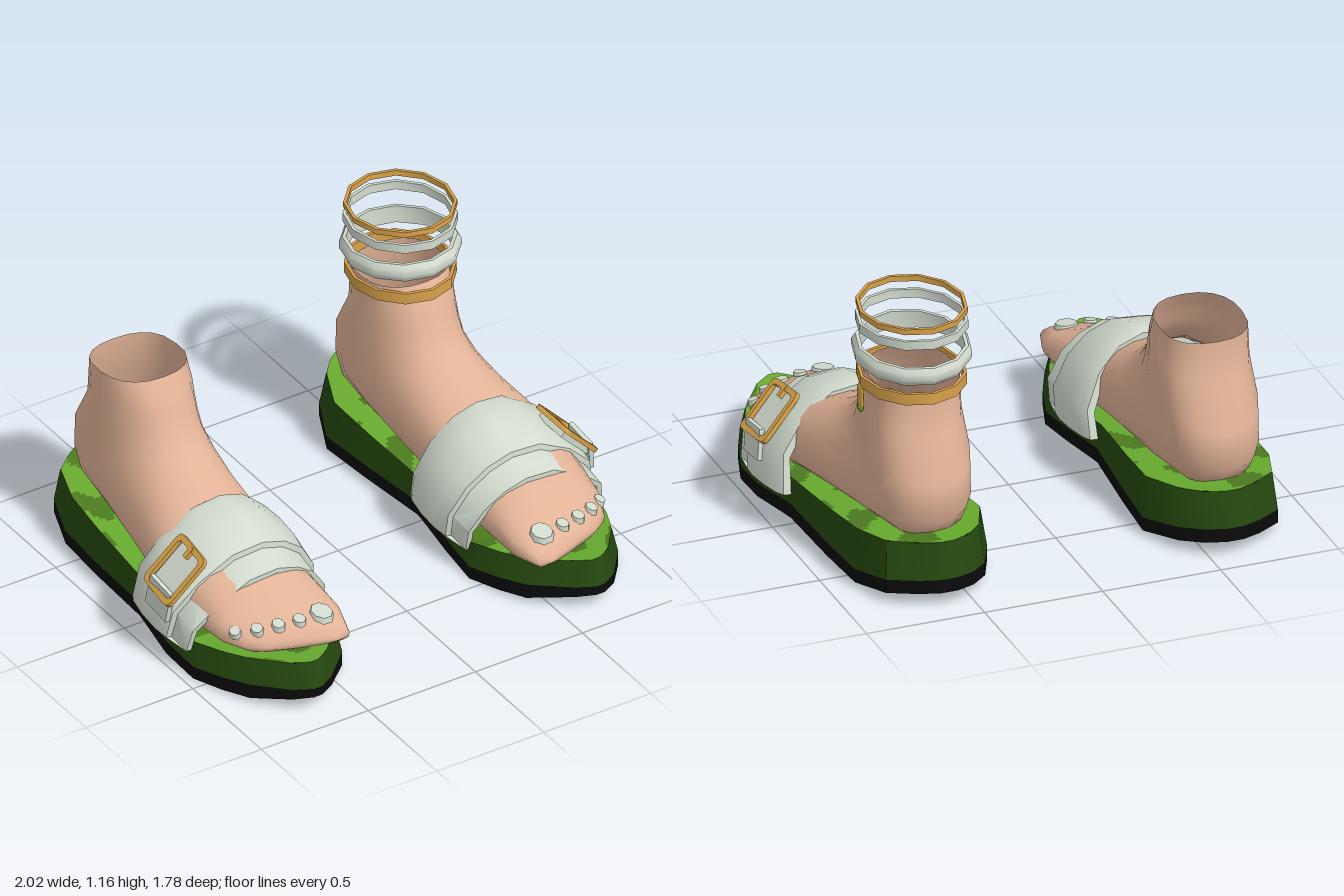
import * as THREE from 'three';
import { toCreasedNormals } from 'three/addons/utils/BufferGeometryUtils.js';

const mat = (name, color, side = THREE.FrontSide) => {
  const m = new THREE.MeshStandardMaterial({ color, side });
  m.name = name;
  return m;
};
const M = {
  skin: mat('skin', 0xe2b397, THREE.DoubleSide),
  strap: mat('pale strap', 0xd3dccf),
  gold: mat('gold', 0xd8a24a),
  wall: mat('dark green', 0x25480f),
  insole: mat('bright green', 0x67ab2f),
  patch: mat('olive green', 0x4c7a1f),
  black: mat('black', 0x0b0b0b, THREE.DoubleSide),
};

function add(parent, name, geo, material) {
  const m = new THREE.Mesh(geo, material);
  m.name = name;
  parent.add(m);
  return m;
}

function geometry(pos, index) {
  const g = new THREE.BufferGeometry();
  g.setAttribute('position', new THREE.Float32BufferAttribute(pos, 3));
  g.setIndex(index);
  return g;
}

// Skin over closed rings; each ring runs counter-clockwise seen from the first one
function loft(rings, crease, capStart = false, capEnd = false) {
  const n = rings[0].length, index = [], last = (rings.length - 1) * n;
  for (let i = 0; i < rings.length - 1; i++) for (let j = 0; j < n; j++) {
    const k = (j + 1) % n, a = i * n + j, b = i * n + k;
    index.push(a, a + n, b, b, a + n, b + n);
  }
  for (let j = 1; j < n - 1; j++) {
    if (capStart) index.push(0, j, j + 1);
    if (capEnd) index.push(last, last + j + 1, last + j);
  }
  return toCreasedNormals(geometry(rings.flat(2), index), crease);
}

// Linear lookup in rows of [key, value, value...]
function lookup(rows, key, col = 1) {
  let i = 1;
  while (i < rows.length - 1 && rows[i][0] < key) i++;
  const [a, b] = [rows[i - 1], rows[i]];
  const t = THREE.MathUtils.clamp((key - a[0]) / (b[0] - a[0]), 0, 1);
  return a[col] + (b[col] - a[col]) * t;
}

// Sole outline: z, inner x, outer x; and heights along z
const OUTLINE = [[-0.895, 0.57, 0.64], [-0.86, 0.49, 0.72], [-0.78, 0.41, 0.83], [-0.6, 0.33, 0.89],
  [-0.35, 0.345, 0.91], [0, 0.375, 0.925], [0.25, 0.345, 0.965], [0.44, 0.33, 0.96], [0.58, 0.375, 0.915],
  [0.7, 0.43, 0.86], [0.84, 0.57, 0.75], [0.885, 0.64, 0.68]];
const TOP = [[-0.9, 0.27], [-0.35, 0.22], [0, 0.19], [0.44, 0.155], [0.9, 0.215]];
const MID = [[-0.9, 0.12], [-0.6, 0.075], [0, 0.09], [0.44, 0.055], [0.9, 0.105]];
const BOTTOM = [[-0.9, 0.062], [-0.6, 0.018], [0, 0.03], [0.44, 0], [0.7, 0.02], [0.9, 0.067]];
const inset = (x, y, z) => [0.64 + (x - 0.64) * 0.93, y, z * 0.965];

function buildSole(parent) {
  const ring = (table, fn = (...p) => p) => [
    ...[...OUTLINE].reverse().map(([z, , xr]) => fn(xr, lookup(table, z), z)),
    ...OUTLINE.map(([z, xl]) => fn(xl, lookup(table, z), z))];
  add(parent, 'soleWall', loft([ring(TOP, inset), ring(MID)], 0.6), M.wall);
  add(parent, 'outsoleEdge', loft([ring(MID), ring(BOTTOM)], 0.6), M.black);

  // Sheet between the two edges of the outline, split in cells
  const sheet = (table, nz, nx, fn) => {
    const pos = [];
    for (let i = 0; i <= nz; i++) for (let j = 0; j <= nx; j++) {
      const z = -0.895 + 1.78 * i / nz, xl = lookup(OUTLINE, z, 1), xr = lookup(OUTLINE, z, 2);
      pos.push(...fn(xl + (xr - xl) * j / nx, lookup(table, z), z));
    }
    return pos;
  };
  const cells = (nz, nx, emit) => {
    for (let i = 0; i < nz; i++) for (let j = 0; j < nx; j++) {
      const a = i * (nx + 1) + j, b = a + nx + 1;
      emit([a, b, a + 1, a + 1, b, b + 1], a);
    }
  };
  const under = [];
  cells(40, 1, (f) => under.push(...f.reverse()));
  const bottom = geometry(sheet(BOTTOM, 40, 1, (...p) => p), under);
  bottom.computeVertexNormals();
  add(parent, 'outsoleBottom', bottom, M.black);

  // Insole with mottled olive patches
  const pos = sheet(TOP, 72, 28, inset), plain = [], patch = [];
  cells(72, 28, (f, a) => {
    const x = pos[a * 3], z = pos[a * 3 + 2];
    const v = Math.sin(x * 23 + 2 * Math.sin(z * 9)) + Math.sin(z * 21 + 1.7 * Math.sin(x * 15));
    (v > 0.55 ? patch : plain).push(...f);
  });
  const g = geometry(pos, [...plain, ...patch]);
  g.addGroup(0, plain.length, 0);
  g.addGroup(plain.length, patch.length, 1);
  g.computeVertexNormals();
  add(parent, 'insole', g, [M.insole, M.patch]);
}

// Foot sections from toes to ankle: bottom z,y, top z,y, centre x, half width, widest level, skew
const FOOT = [
  [0.735, 0.2, 0.73, 0.24, 0.635, 0.14, 0.4, 0.35], [0.71, 0.18, 0.69, 0.275, 0.64, 0.2, 0.4, 0.35],
  [0.6, 0.17, 0.57, 0.32, 0.645, 0.245, 0.35, 0.25], [0.45, 0.16, 0.45, 0.38, 0.65, 0.25, 0.3, 0.1],
  [0.25, 0.165, 0.27, 0.43, 0.655, 0.265, 0.3, 0], [0.05, 0.18, 0.05, 0.51, 0.645, 0.25, 0.35, 0],
  [-0.2, 0.2, -0.06, 0.555, 0.63, 0.23, 0.35, 0], [-0.5, 0.22, -0.15, 0.61, 0.615, 0.215, 0.4, 0],
  [-0.73, 0.24, -0.2, 0.67, 0.61, 0.205, 0.45, 0], [-0.8, 0.32, -0.23, 0.72, 0.61, 0.2, 0.5, 0],
  [-0.8, 0.48, -0.25, 0.77, 0.61, 0.195, 0.5, 0], [-0.7, 0.66, -0.28, 0.82, 0.61, 0.186, 0.5, 0],
  [-0.69, 0.84, -0.315, 0.875, 0.61, 0.178, 0.5, 0]];

function buildFoot(parent) {
  const pow = (v, p) => Math.sign(v) * Math.abs(v) ** p;
  const rings = FOOT.map(([zb, yb, zt, yt, cx, hw, w, skew]) => Array.from({ length: 20 }, (_, j) => {
    const a = j / 20 * Math.PI * 2, c = Math.cos(a), s = Math.sin(a);
    const dx = hw * pow(c, 0.85), u = w + (s > 0 ? (1 - w) * pow(s, 0.85) : w * pow(s, 0.7));
    return [cx + dx, yb + (yt - yb) * u, zb + (zt - zb) * u - skew * dx];
  }));
  const foot = add(parent, 'foot', loft(rings, 1.1, true), M.skin);
  const hollow = add(parent, 'ankleHollow', new THREE.CircleGeometry(1, 16).rotateX(-Math.PI / 2), M.black);
  hollow.scale.set(0.18, 1, 0.2);
  hollow.position.set(0.61, 0.52, -0.5);

  // Toenails laid on the toes
  const ray = new THREE.Raycaster(), up = new THREE.Vector3(0, 1, 0);
  foot.updateMatrixWorld();
  [[0.515, 0.68, 0.05], [0.615, 0.675, 0.029], [0.7, 0.655, 0.029], [0.78, 0.625, 0.028], [0.85, 0.575, 0.026]]
    .forEach(([x, z, r]) => {
      ray.set(new THREE.Vector3(x, 1, z), new THREE.Vector3(0, -1, 0));
      const hit = ray.intersectObject(foot)[0];
      const nail = add(parent, 'toenail', new THREE.CylinderGeometry(0.85, 1, 1, 8).rotateY(Math.PI / 8), M.strap);
      nail.scale.set(r, 0.025, r * 1.15);
      nail.position.set(x, hit ? hit.point.y + 0.003 : 0.26, z);
      if (hit) nail.quaternion.setFromUnitVectors(up, hit.face.normal.clone().add(up).normalize());
    });
}

// Strap arch over the foot (x, y) at its back and front edges
const BACK = [[0.355, 0.135], [0.35, 0.25], [0.41, 0.39], [0.5, 0.48], [0.6, 0.515], [0.72, 0.5], [0.85, 0.41], [0.935, 0.29], [0.945, 0.135]];
const FRONT = [[0.335, 0.115], [0.335, 0.21], [0.4, 0.305], [0.48, 0.365], [0.58, 0.4], [0.71, 0.39], [0.85, 0.31], [0.955, 0.215], [0.972, 0.115]];
// Strap profile from front to back: position, height above the arch
const PROFILE = [[1, 0], [0.73, 0.005], [0.72, 0.028], [0.55, 0.04], [0.3, 0.04], [0.08, 0.028], [0, 0.012], [0, -0.022], [0.5, -0.015], [1, -0.022]];

function buildStrap(parent) {
  const rings = BACK.map(([bx, by], i) => PROFILE.map(([t, h]) => {
    let x = bx + (FRONT[i][0] - bx) * t, y = by + (FRONT[i][1] - by) * t;
    const z = 0.42 * t + 0.2 * (y - 0.17), d = Math.hypot(x - 0.65, y - 0.1);
    x += (x - 0.65) / d * h;
    y += (y - 0.1) / d * h;
    return [x, y, z];
  }));
  add(parent, 'strap', loft(rings, 0.6, true, true), M.strap);

  // Buckle on the outer side
  const buckle = new THREE.Group();
  buckle.name = 'buckle';
  const out = new THREE.Vector3(0.73, 0.68, 0).normalize(), slope = new THREE.Vector3(-out.y, out.x, 0);
  buckle.quaternion.setFromRotationMatrix(new THREE.Matrix4().makeBasis(new THREE.Vector3(0, 0, -1), slope, out));
  buckle.rotateZ(0.12);
  buckle.position.set(0.908, 0.377, 0.24);
  parent.add(buckle);
  const rounded = (Shape, w, h, r) => {
    const s = new Shape();
    s.moveTo(-w + r, -h).lineTo(w - r, -h).quadraticCurveTo(w, -h, w, -h + r).lineTo(w, h - r)
      .quadraticCurveTo(w, h, w - r, h).lineTo(-w + r, h).quadraticCurveTo(-w, h, -w, h - r)
      .lineTo(-w, -h + r).quadraticCurveTo(-w, -h, -w + r, -h);
    return s;
  };
  const frame = rounded(THREE.Shape, 0.105, 0.122, 0.03);
  frame.holes.push(rounded(THREE.Path, 0.082, 0.098, 0.02));
  add(buckle, 'buckleFrame', new THREE.ExtrudeGeometry(frame, { depth: 0.02, bevelEnabled: false, curveSegments: 3 }), M.gold);
  add(buckle, 'bucklePin', new THREE.BoxGeometry(0.022, 0.05, 0.022), M.gold).position.set(0, 0.09, 0.012);
  add(buckle, 'strapTongue', new THREE.BoxGeometry(0.15, 0.2, 0.03), M.strap).position.set(0, -0.005, -0.01);
  const end = add(parent, 'strapTongueEnd', new THREE.BoxGeometry(0.02, 0.13, 0.15), M.strap);
  end.position.set(0.985, 0.275, 0.235);
  end.rotation.set(0.12, 0, 0.12);
}

// Ring around the ankle; belly pushes its wall outward
function anklet(parent, name, material, y, h, rx, rz, belly = 0, tilt = 0.03) {
  const r = 0.94 - belly, k = h / 2;
  const pts = [[r, -k], [1 - belly, -k], [1, -k * 0.35], [1, k * 0.35], [1 - belly, k], [r, k], [r, -k]];
  const geo = new THREE.LatheGeometry(pts.map(([x, v]) => new THREE.Vector2(x, v)), 12);
  geo.scale(rx, 1, rz);
  geo.deleteAttribute('normal');
  const ring = add(parent, name, toCreasedNormals(geo, 0.6), material);
  ring.position.set(0.61, y, -0.5);
  ring.rotation.x = -tilt;
}

export function createModel() {
  const model = new THREE.Group();
  model.name = 'sandalledFeet';
  const left = new THREE.Group();
  left.name = 'leftFoot';
  buildSole(left);
  buildFoot(left);
  buildStrap(left);
  const right = left.clone();
  right.name = 'rightFoot';
  right.scale.x = -1;
  model.add(left, right);

  // Stacked anklets on the left leg, lowest with a drop charm
  const anklets = new THREE.Group();
  anklets.name = 'anklets';
  model.add(anklets);
  anklet(anklets, 'goldBand', M.gold, 0.842, 0.048, 0.216, 0.24, 0, 0.01);
  anklet(anklets, 'paleBangle', M.strap, 0.955, 0.075, 0.237, 0.256, 0.06, 0.07);
  anklet(anklets, 'paleBand', M.strap, 1.08, 0.038, 0.222, 0.24, 0, 0.01);
  anklet(anklets, 'topGoldRing', M.gold, 1.143, 0.024, 0.22, 0.238);
  const charm = add(anklets, 'charm', new THREE.CapsuleGeometry(0.026, 0.065, 4, 8), M.gold);
  charm.scale.x = 0.4;
  charm.position.set(0.822, 0.775, -0.49);
  const tip = add(anklets, 'charmTip', new THREE.SphereGeometry(0.022, 8, 6), M.insole);
  tip.scale.x = 0.55;
  tip.position.set(0.822, 0.728, -0.49);
  return model;
}
